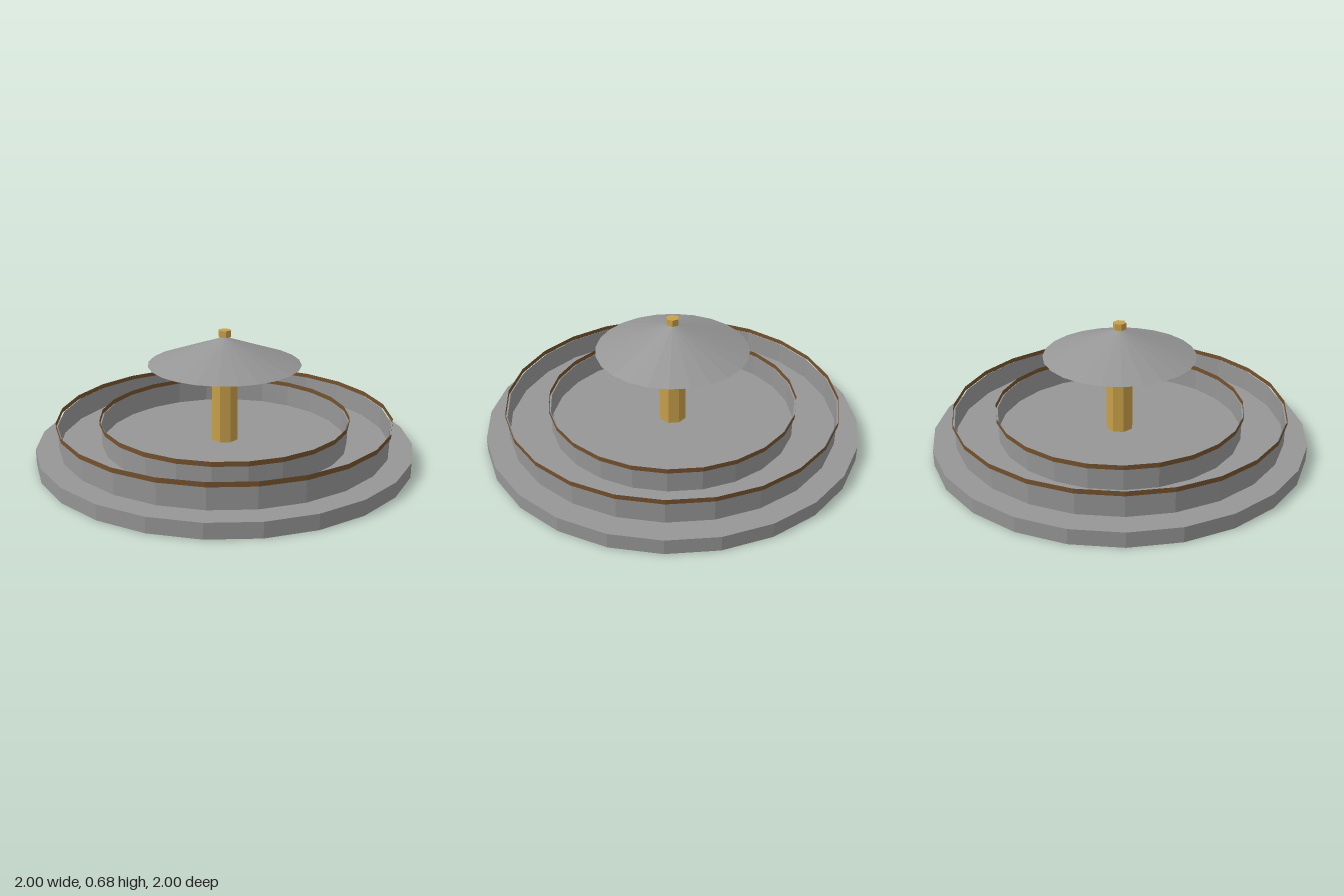
import * as THREE from 'three';

const grey = new THREE.MeshStandardMaterial({ color: 0x969696, flatShading: true });
const greyThin = new THREE.MeshStandardMaterial({ color: 0x969696, flatShading: true, side: THREE.DoubleSide });
const brownThin = new THREE.MeshStandardMaterial({ color: 0x74522e, flatShading: true, side: THREE.DoubleSide });
const gold = new THREE.MeshStandardMaterial({ color: 0xc8a04a, flatShading: true });

export function createModel() {
  const model = new THREE.Group();

  // Upright faceted cylinder or cone between two heights, first corner on the x axis
  function drum(name, material, rTop, rBottom, y0, y1, sides, open = false) {
    const geometry = new THREE.CylinderGeometry(rTop, rBottom, y1 - y0, sides, 1, open);
    geometry.rotateY(Math.PI / 2);
    geometry.translate(0, (y0 + y1) / 2, 0);
    const mesh = new THREE.Mesh(geometry, material);
    mesh.name = name;
    model.add(mesh);
  }

  // Round floor slab
  drum('base', grey, 1, 1, 0, 0.08, 24);

  // Two thin ring walls, each with a rim band just outside its top edge
  for (const [name, radius] of [['outer', 0.88], ['inner', 0.655]]) {
    drum(name + 'Wall', greyThin, radius, radius, 0.08, 0.2, 24, true);
    drum(name + 'Rim', brownThin, radius + 0.01, radius + 0.01, 0.195, 0.22, 24, true);
  }

  // Central post, canopy and finial
  drum('post', gold, 0.073, 0.073, 0.08, 0.51, 8);
  drum('canopy', grey, 0, 0.404, 0.5, 0.645, 24);
  drum('finial', gold, 0.035, 0.035, 0.645, 0.68, 6);

  return model;
}
